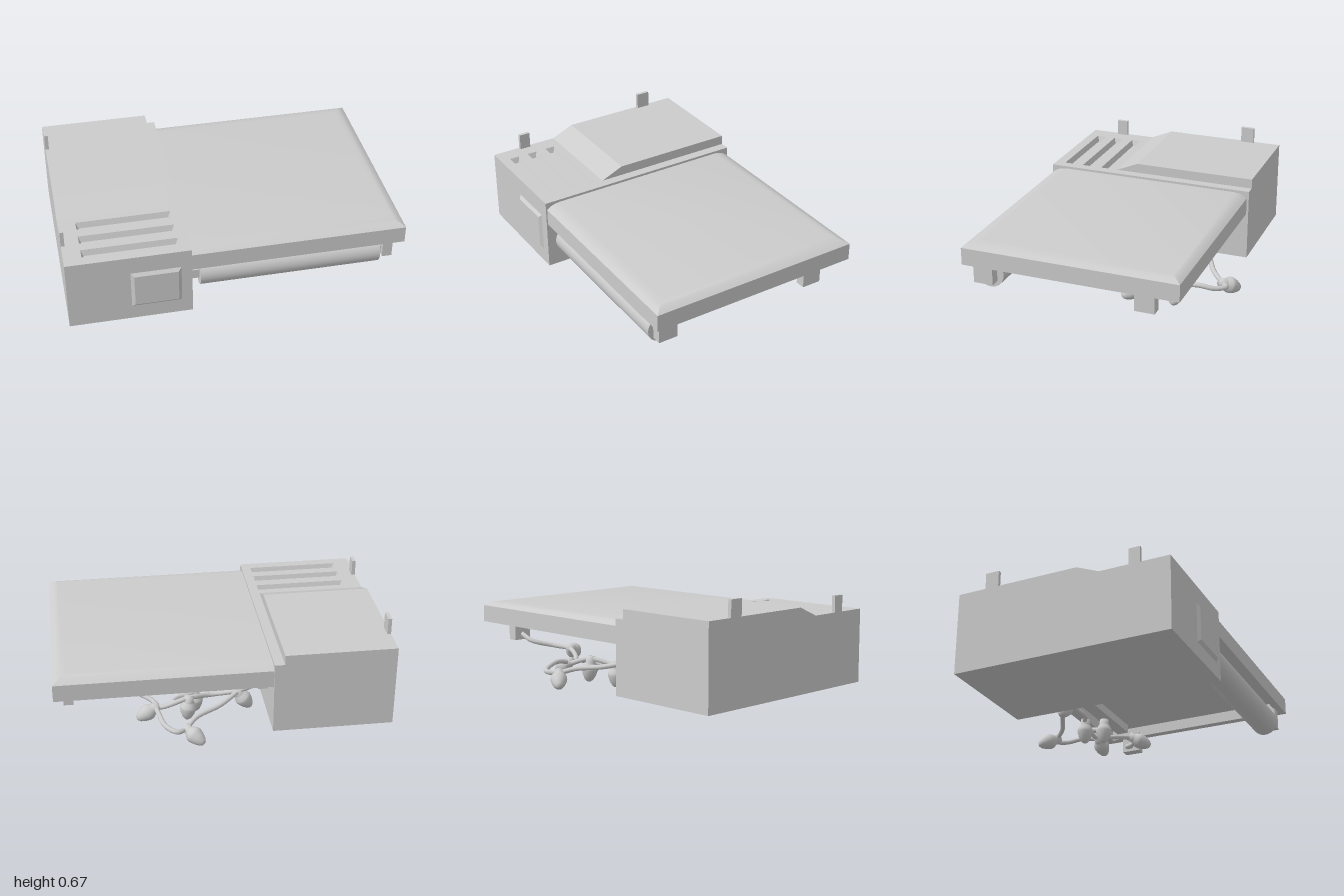
import * as THREE from 'three';
import { toCreasedNormals } from 'three/addons/utils/BufferGeometryUtils.js';

const grey = new THREE.MeshStandardMaterial({ color: 0xcccccc });

export function createModel() {
  const model = new THREE.Group();

  function add(name, geometry, parent = model) {
    const mesh = new THREE.Mesh(geometry, grey);
    mesh.name = name;
    parent.add(mesh);
    return mesh;
  }

  // Box given by its limits on each axis
  function block(name, x0, x1, y0, y1, z0, z1) {
    const mesh = add(name, new THREE.BoxGeometry(x1 - x0, y1 - y0, z1 - z0));
    mesh.position.set((x0 + x1) / 2, (y0 + y1) / 2, (z0 + z1) / 2);
    return mesh;
  }

  // Skin over stacked rectangles [x0, x1, z0, z1, y]
  function loft(rings, startCap = true, crease = 0.3) {
    const pos = [], index = [];
    for (const [x0, x1, z0, z1, y] of rings) {
      pos.push(x0, y, z1, x1, y, z1, x1, y, z0, x0, y, z0);
    }
    const quad = (a, b, c, d) => index.push(a, b, c, a, c, d);
    for (let r = 0; r < rings.length - 1; r++) {
      for (let i = 0; i < 4; i++) {
        const j = (i + 1) % 4, o = r * 4;
        quad(o + i, o + j, o + 4 + j, o + 4 + i);
      }
    }
    const e = (rings.length - 1) * 4;
    quad(e, e + 1, e + 2, e + 3);
    if (startCap) quad(3, 2, 1, 0);
    const g = new THREE.BufferGeometry();
    g.setAttribute('position', new THREE.Float32BufferAttribute(pos, 3));
    g.setIndex(index);
    return toCreasedNormals(g, crease);
  }

  // Housing with a slotted top plate
  block('housing', -1, -0.275, 0.07, 0.47, -0.635, 0.7);
  const plate = new THREE.Shape();
  plate.moveTo(-1, -0.7).lineTo(-0.275, -0.7).lineTo(-0.275, 0.635).lineTo(-1, 0.635).closePath();
  const [sx0, sx1] = [-0.895, -0.335];
  for (const z of [0.35, 0.48, 0.605]) {
    const a = z - 0.032, b = z + 0.032;
    const hole = new THREE.Path();
    hole.moveTo(sx0, -b).lineTo(sx0, -a).lineTo(sx1, -a).lineTo(sx1, -b).closePath();
    plate.holes.push(hole);
    add('ventSlot', loft([
      [sx0, sx1, a, b, 0.52],
      [sx0 + 0.015, sx1 - 0.015, a + 0.013, b - 0.013, 0.485],
    ], false));
  }
  const plateGeometry = new THREE.ExtrudeGeometry(plate, { depth: 0.05, bevelEnabled: false });
  add('housingTop', plateGeometry.rotateX(-Math.PI / 2)).position.y = 0.47;

  // Raised lid with a sloped front
  const lid = new THREE.Shape();
  lid.moveTo(-0.635, 0.52).lineTo(0.27, 0.52).lineTo(0.13, 0.58).lineTo(-0.635, 0.58).closePath();
  const lidGeometry = new THREE.ExtrudeGeometry(lid, { depth: 0.665, bevelEnabled: false });
  add('raisedLid', lidGeometry.rotateY(-Math.PI / 2)).position.x = -0.335;

  block('frontTab', -1, -0.978, 0.52, 0.62, 0.45, 0.52);
  block('rearTab', -1, -0.978, 0.58, 0.68, -0.46, -0.375);

  // Bevelled panel on the housing front
  const panel = loft([
    [-0.147, 0.147, -0.122, 0.122, 0],
    [-0.128, 0.128, -0.103, 0.103, 0.016],
  ]).rotateX(Math.PI / 2);
  add('frontPanel', panel).position.set(-0.485, 0.285, 0.7);

  // Hollow cover with a softened top edge on three sides
  const ring = (y, inset, left = 0) =>
    [-0.275 + left, 1 - inset, -0.622 + inset, 0.692 - inset, y];
  add('cover', loft([
    ring(0.44, 0.05, 0.01), ring(0.37, 0.05, 0.01), ring(0.37, 0),
    ring(0.475, 0), ring(0.489, 0.022), ring(0.5, 0.05), ring(0.505, 0.085),
  ], true, 0.5));
  for (const side of [-1, 1]) {
    block('underRail', -0.275, 0.89, 0.385, 0.44, 0.035 + side * 0.5 - 0.04, 0.035 + side * 0.5 + 0.04);
  }

  // Supports under the cover, with short stubs on the housing
  for (const z of [0.59, -0.4]) {
    block('endBracket', 0.885, 0.945, 0.24, 0.375, z - 0.06, z + 0.06);
    block('housingStub', -0.275, -0.215, 0.24, 0.3, z - 0.03, z + 0.03);
  }
  block('axleStub', 0.86, 0.89, 0.24, 0.3, 0.56, 0.62);

  // Front roller
  const roller = add('roller', new THREE.CylinderGeometry(0.086, 0.086, 1.085, 40));
  roller.rotation.z = Math.PI / 2;
  roller.position.set(0.3225, 0.272, 0.585);

  // Cable and its branches, hung between the rear supports
  const cables = [
    [[0.9, 0.28, -0.4], [0.8, 0.24, -0.39], [0.69, 0.21, -0.29], [0.58, 0.2, -0.26], [0.42, 0.16, -0.34],
      [0.38, 0.15, -0.41], [0.2, 0.2, -0.41], [0.05, 0.17, -0.34], [-0.1, 0.21, -0.38], [-0.25, 0.27, -0.4]],
    [[0.4, 0.15, -0.4], [0.39, 0.17, -0.52], [0.36, 0.15, -0.62], [0.3, 0.14, -0.675], [0.245, 0.13, -0.64]],
    [[0.245, 0.13, -0.64], [0.17, 0.16, -0.56], [0.02, 0.18, -0.48], [-0.1, 0.21, -0.39]],
    [[0.3, 0.18, -0.41], [0.25, 0.15, -0.32], [0.15, 0.14, -0.26]],
  ];
  for (const points of cables) {
    const path = new THREE.CatmullRomCurve3(points.map(p => new THREE.Vector3(...p)), false, 'centripetal');
    add('cable', new THREE.TubeGeometry(path, points.length * 8, 0.015, 10));
  }

  // Bulbs: socket position and pointing direction
  const profile = [[0, -0.025], [0.028, -0.022], [0.03, 0.012], [0.036, 0.02], [0.049, 0.043],
    [0.05, 0.06], [0.041, 0.092], [0.027, 0.12], [0.014, 0.132], [0, 0.135]]
    .map(p => new THREE.Vector2(...p));
  const bulbGeometry = new THREE.LatheGeometry(profile, 20);
  const bulbs = [
    [[-0.1, 0.2, -0.38], [-0.55, -0.75, 0]],
    [[0.15, 0.14, -0.25], [-0.05, -1, 0]],
    [[0.235, 0.13, -0.635], [-0.75, -0.5, -0.65]],
    [[0.4, 0.15, -0.41], [0.85, -0.5, -0.05]],
    [[0.575, 0.2, -0.25], [0.5, -0.4, 0.8]],
    [[0.2, 0.19, -0.41], [0.1, -1, -0.05]],
  ];
  const up = new THREE.Vector3(0, 1, 0);
  for (const [position, direction] of bulbs) {
    const bulb = add('bulb', bulbGeometry);
    bulb.position.set(...position);
    bulb.quaternion.setFromUnitVectors(up, new THREE.Vector3(...direction).normalize());
  }

  return model;
}
